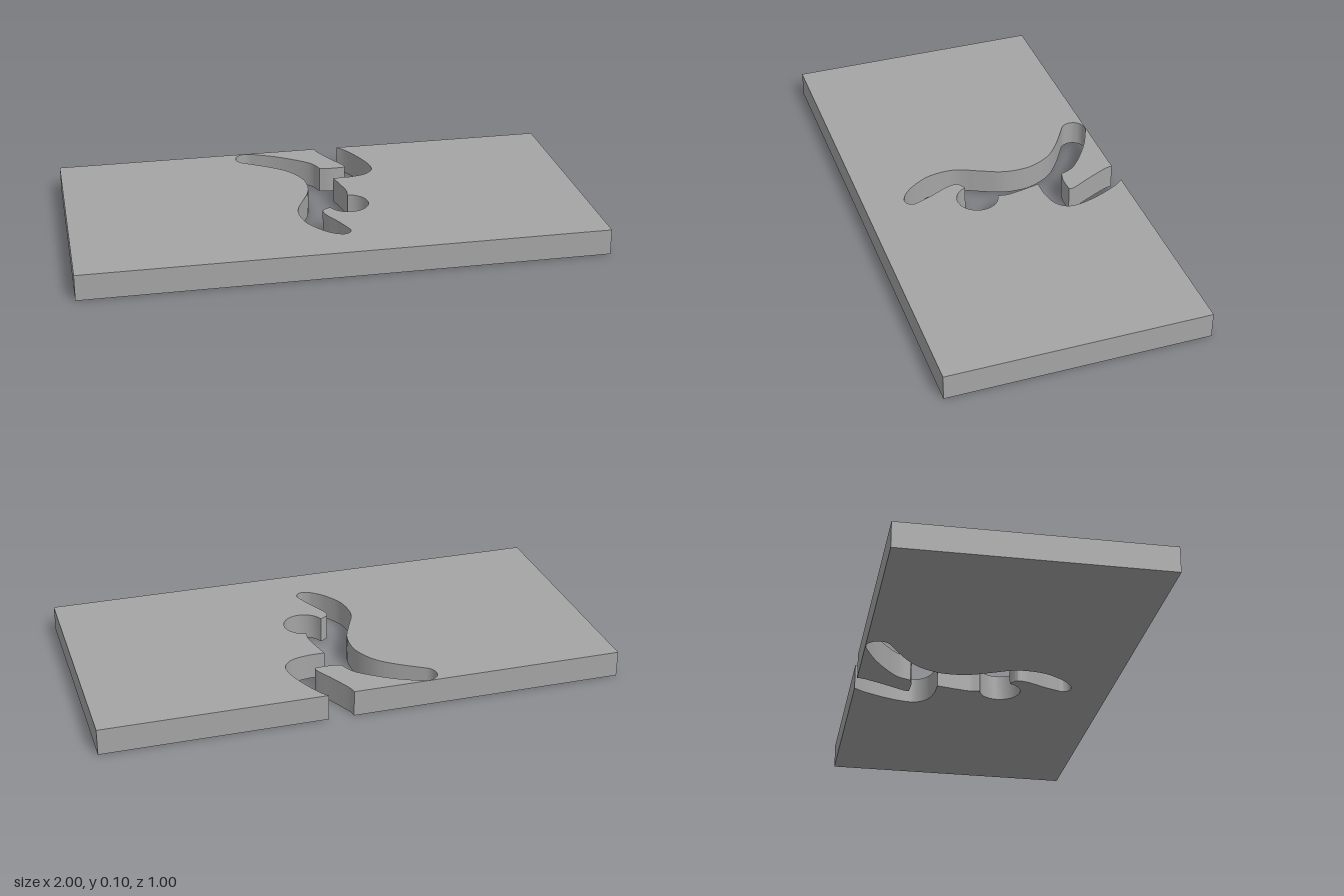
import * as THREE from 'three';
import { toCreasedNormals } from 'three/addons/utils/BufferGeometryUtils.js';

const THICKNESS = 0.1;

export function createModel() {
  const group = new THREE.Group();
  group.name = 'figureCutoutPlate';

  // Plate outline seen from above; shape y becomes -z, so +0.5 is the back edge
  const outline = new THREE.Shape();
  const curve = (...pts) => outline.splineThru(pts.map(([x, y]) => new THREE.Vector2(x, y)));
  const arc = (x, y, radius, from, to) =>
    outline.absarc(x, y, radius, THREE.MathUtils.degToRad(from), THREE.MathUtils.degToRad(to), true);

  outline.moveTo(-1, -0.5);
  outline.lineTo(1, -0.5);
  outline.lineTo(1, 0.5);
  outline.lineTo(0.15, 0.5);

  // Outer side of the bent leg, which opens through the back edge
  curve([0.18, 0.457], [0.22, 0.37], [0.243, 0.29], [0.24, 0.238], [0.203, 0.2], [0.14, 0.184], [0.072, 0.182]);
  // Chest
  curve([0.09, 0.1], [0.098, 0.05], [0.093, 0.012]);
  // Round head
  arc(0.08, -0.07, 0.08, 80, -162);
  // Inner side of the arm
  curve([-0.015, -0.105], [-0.03, -0.122], [-0.022, -0.165], [0.012, -0.235], [0.037, -0.299]);
  // Rounded hand
  arc(0.01, -0.312, 0.03, 25, -105);
  // Outer side of the arm, the back and the straight leg
  curve(
    [-0.025, -0.329], [-0.066, -0.29], [-0.109, -0.22], [-0.124, -0.147], [-0.118, -0.083], [-0.086, -0.01],
    [-0.053, 0.067], [-0.043, 0.13], [-0.05, 0.2], [-0.09, 0.28], [-0.155, 0.34], [-0.256, 0.405],
  );
  // Rounded foot
  arc(-0.235, 0.449, 0.049, 245, 62);
  // Inner side of the straight leg
  curve([-0.128, 0.453], [-0.05, 0.402], [0.012, 0.348], [0.037, 0.293]);
  // Inner side of the bent leg
  curve([0.08, 0.284], [0.14, 0.286]);
  curve([0.138, 0.308], [0.096, 0.39], [0.06, 0.468], [0.053, 0.5]);

  outline.lineTo(-1, 0.5);
  outline.closePath();

  const geometry = new THREE.ExtrudeGeometry(outline, {
    depth: THICKNESS,
    bevelEnabled: false,
    curveSegments: 8,
  });
  geometry.rotateX(-Math.PI / 2);

  const plate = new THREE.Mesh(
    toCreasedNormals(geometry, Math.PI / 5),
    new THREE.MeshStandardMaterial({ color: 0xa5a5a5 }),
  );
  plate.name = 'plate';
  group.add(plate);
  return group;
}
